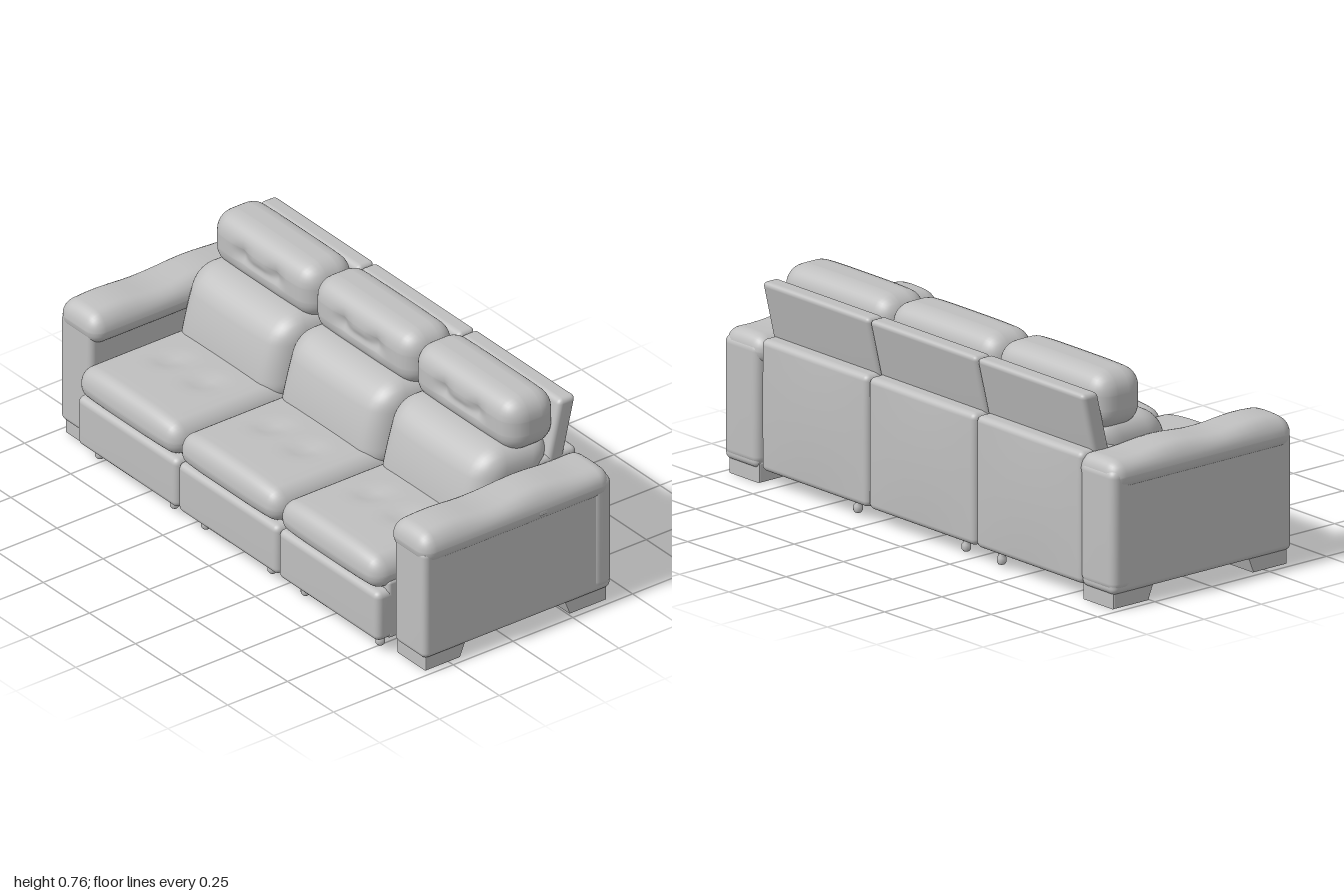
import * as THREE from 'three';
import { mergeVertices } from 'three/addons/utils/BufferGeometryUtils.js';

const leather = new THREE.MeshStandardMaterial({ color: 0xbfbfbf });
leather.name = 'greyLeather';

const bump = (a, b, s) => Math.exp(-(a * a + b * b) / (s * s));

// Box between two corners with rounded edges; warp(p, u) may then push each
// point, where u holds the -1..1 position inside the box.
function softBox(name, min, max, r, inner = 2, warp = null) {
  const edge = 4, n = edge * 2 + inner;
  let geo = new THREE.BoxGeometry(2, 2, 2, n, n, n);
  geo.deleteAttribute('uv');
  geo.deleteAttribute('normal');
  geo = mergeVertices(geo, 1e-4);
  const pos = geo.attributes.position;
  const lo = new THREE.Vector3(...min), hi = new THREE.Vector3(...max);
  const centre = lo.clone().add(hi).multiplyScalar(0.5);
  const half = hi.clone().sub(lo).multiplyScalar(0.5);
  const p = new THREE.Vector3(), core = new THREE.Vector3(), u = new THREE.Vector3();
  // Concentrate the grid lines near the rounded edges
  const spread = (t, h) => {
    const i = Math.round((t + 1) * n / 2);
    if (i <= edge) return -h + r * i / edge;
    if (i >= n - edge) return h - r * (n - i) / edge;
    return -h + r + (2 * h - 2 * r) * (i - edge) / inner;
  };
  const limit = half.clone().subScalar(r);
  for (let i = 0; i < pos.count; i++) {
    p.fromBufferAttribute(pos, i);
    p.set(spread(p.x, half.x), spread(p.y, half.y), spread(p.z, half.z));
    core.copy(p).clamp(limit.clone().negate(), limit);
    p.sub(core).setLength(r).add(core);
    u.copy(p).divide(half);
    p.add(centre);
    if (warp) warp(p, u);
    pos.setXYZ(i, p.x, p.y, p.z);
  }
  geo.computeVertexNormals();
  const mesh = new THREE.Mesh(geo, leather);
  mesh.name = name;
  return mesh;
}

// One of the three reclining seats, centred on x
function seatUnit(x) {
  const unit = new THREE.Group();
  unit.name = 'seatUnit';
  const w = 0.2715;
  unit.add(
    softBox('seatBase', [x - w, 0.05, -0.4], [x + w, 0.27, 0.37], 0.012),
    softBox('legRestPanel', [x - w, 0.05, 0.33], [x + w, 0.238, 0.418], 0.024),
    softBox('rearPanel', [x - w, 0.05, -0.42], [x + w, 0.51, -0.25], 0.022, 6, (p, u) => {
      if (u.z < 0) p.z -= 0.008 * (1 - u.x * u.x) * (1 - u.y * u.y);
    }),
    // Puffed cushion with two tufts
    softBox('seatCushion', [x - w, 0.238, -0.15], [x + w, 0.347, 0.42], 0.052, 14, (p, u) => {
      const crown = 1 - u.x ** 4;
      if (u.y > 0) p.y += u.y * (0.02 * crown
        - 0.016 * (bump(p.x - x - 0.09, p.z - 0.16, 0.04) + bump(p.x - x + 0.09, p.z - 0.16, 0.04)));
      if (u.z > 0) p.z += 0.01 * u.z * crown;
    }),
    // Leaning lumbar cushion
    softBox('backCushion', [x - w, 0.28, -0.3], [x + w, 0.59, -0.012], 0.08, 14, (p, u) => {
      p.z -= (p.y - 0.44) * 0.28;
      if (u.z > 0) p.z += 0.02 * u.z * (1 - u.x ** 4) * (1 - u.y * u.y);
    }),
    softBox('headrest', [x - w - 0.005, 0.555, -0.34], [x + w + 0.005, 0.752, -0.142], 0.07, 14, (p, u) => {
      const crown = 1 - u.x ** 4;
      if (u.y > 0) p.y += 0.007 * u.y * crown;
      if (u.z > 0) {
        p.z += u.z * 0.009 * crown;
        p.z -= u.z * 0.016 * (bump(p.x - x - 0.09, p.y - 0.66, 0.03) + bump(p.x - x + 0.09, p.y - 0.66, 0.03));
        p.z -= u.z * 0.007 * bump((p.x - x) * 0.2, p.y - 0.645, 0.016) * (Math.abs(p.x - x) < 0.09 ? 1 : 0);
      }
    }),
    // Upright shell behind the headrest
    softBox('headrestShell', [x - w, 0.46, -0.395], [x + w, 0.708, -0.325], 0.018, 2, (p) => {
      p.z -= (p.y - 0.62) * 0.24;
    })
  );
  return unit;
}

// Block foot with a sloping inner side; z runs from outer end to inner end
function foot(side, outer, innerBottom, innerTop) {
  const s = new THREE.Shape();
  s.moveTo(outer, 0.005);
  s.lineTo(innerBottom, 0.005);
  s.lineTo(innerTop, 0.065);
  s.lineTo(outer, 0.065);
  const geo = new THREE.ExtrudeGeometry(s, {
    depth: 0.146, bevelEnabled: true, bevelSize: 0.005, bevelThickness: 0.005, bevelSegments: 2
  });
  geo.rotateY(-Math.PI / 2); // shape x becomes z, depth runs towards -x
  const mesh = new THREE.Mesh(geo, leather);
  mesh.name = 'foot';
  mesh.position.x = side > 0 ? 0.972 : -0.826;
  return mesh;
}

function arm(side) {
  const g = new THREE.Group();
  g.name = side > 0 ? 'leftArm' : 'rightArm';
  const span = (a, b) => side > 0 ? [a, b] : [-b, -a];
  const [b0, b1] = span(0.822, 0.99);
  const [r0, r1] = span(0.793, 1);
  const [c0, c1] = span(0.815, 0.994);
  g.add(
    softBox('armBody', [b0, 0.05, -0.422], [b1, 0.46, 0.362], 0.022),
    // Padded roll with a gently waved top
    softBox('armRoll', [r0, 0.405, -0.422], [r1, 0.508, 0.366], 0.05, 14, (p, u) => {
      if (u.y > 0) {
        const wave = 0.007 * Math.cos((p.z - 0.24) * 17) - 0.012 * Math.max(0, -u.z - 0.6);
        p.y += u.y * (0.012 * (1 - u.x * u.x) + wave * (1 - u.x ** 4));
      }
    }),
    softBox('armRearPad', [c0, 0.06, -0.425], [c1, 0.485, -0.34], 0.03),
    foot(side, 0.342, 0.205, 0.18),
    foot(side, -0.405, -0.26, -0.235)
  );
  return g;
}

export function createModel() {
  const sofa = new THREE.Group();
  sofa.name = 'reclinerSofa';
  for (const x of [-0.555, -0.01, 0.535]) sofa.add(seatUnit(x));
  for (const side of [-1, 1]) sofa.add(arm(side));

  // Small recline switch on the outer side of the left arm
  sofa.add(softBox('reclineSwitch', [0.985, 0.438, -0.145], [1, 0.454, -0.115], 0.003));

  // Little glides under the mechanism
  const glideGeo = new THREE.LatheGeometry([
    [0, 0.01], [0.011, 0.011], [0.016, 0.018], [0.016, 0.034], [0.01, 0.04], [0.01, 0.06]
  ].map(([r, y]) => new THREE.Vector2(r, y)), 16);
  const glides = [
    [-0.76, 0.37], [-0.355, 0.37], [-0.185, 0.37], [0.175, 0.37], [0.355, 0.37], [0.76, 0.37],
    [0.35, -0.385], [-0.2, -0.385], [-0.385, -0.39], [-0.385, 0.22]
  ];
  for (const [x, z] of glides) {
    const glide = new THREE.Mesh(glideGeo, leather);
    glide.name = 'glide';
    glide.position.set(x, 0, z);
    sofa.add(glide);
  }
  return sofa;
}
